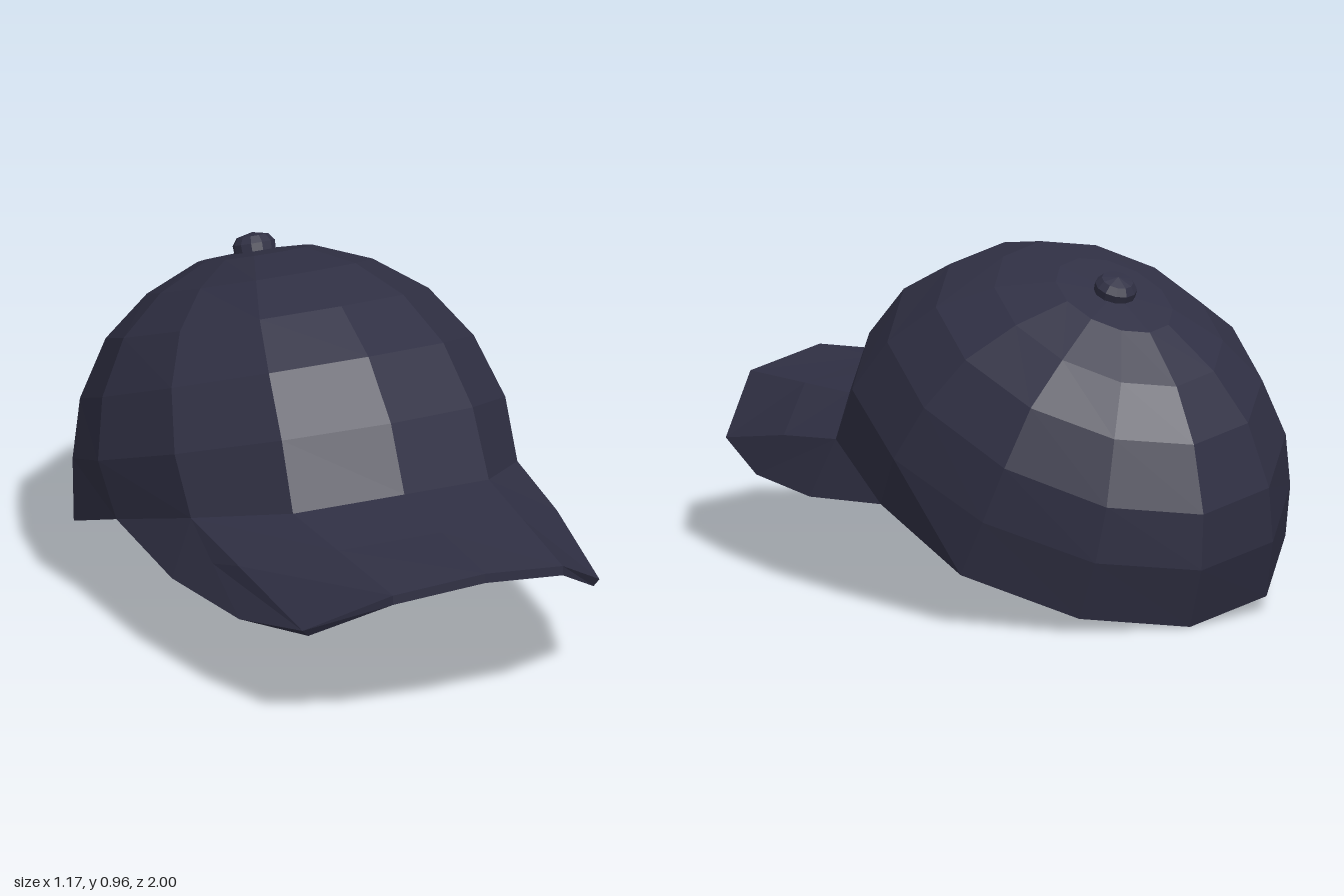
import * as THREE from 'three';

const material = new THREE.MeshStandardMaterial({ color: 0x303044, flatShading: true });

// Joins rows of points with quads, leaving out collapsed triangles
function loft(rows, out = [], flip = false) {
  const tri = (a, b, c) => {
    if (a.distanceTo(b) < 1e-5 || b.distanceTo(c) < 1e-5 || a.distanceTo(c) < 1e-5) return;
    for (const p of flip ? [a, c, b] : [a, b, c]) out.push(p.x, p.y, p.z);
  };
  for (let k = 0; k < rows.length - 1; k++) {
    for (let j = 0; j < rows[k].length - 1; j++) {
      const a = rows[k][j], b = rows[k + 1][j], c = rows[k + 1][j + 1], d = rows[k][j + 1];
      tri(a, b, c);
      tri(a, c, d);
    }
  }
  return out;
}

function meshFrom(positions, name) {
  const geometry = new THREE.BufferGeometry();
  geometry.setAttribute('position', new THREE.Float32BufferAttribute(positions, 3));
  geometry.computeVertexNormals();
  const mesh = new THREE.Mesh(geometry, material);
  mesh.name = name;
  return mesh;
}

const V = (x, y, z) => new THREE.Vector3(x, y, z);

// Completes a right-to-left half row (starting on the centre line) by mirroring
const mirrorRow = (half) => [
  ...half.slice(1).reverse().map((p) => V(-p.x, p.y, p.z)),
  ...half,
];

// Bottom edge of the crown, front centre to back centre
const baseEdge = [
  V(0, 0.52, 0.46), V(0.3, 0.48, 0.37), V(0.5, 0.41, 0.125), V(0.57, 0.29, -0.22),
  V(0.535, 0.145, -0.58), V(0.308, 0.04, -0.84), V(0, 0, -0.93),
];

function createCrown() {
  // Tilted oval rings: front z, front y, back z, back y, half width
  const rings = [
    [-0.54, 0.885, -0.54, 0.885, 0],
    [-0.35, 0.95, -0.72, 0.8, 0.155],
    [-0.15, 0.965, -0.86, 0.67, 0.305],
    [0.04, 0.93, -0.95, 0.52, 0.44],
    [0.22, 0.845, -1, 0.33, 0.535],
    [0.37, 0.7, -0.99, 0.17, 0.585],
  ];
  const outer = rings.map(([fz, fy, bz, by, rx]) => {
    const half = [];
    for (let j = 0; j <= 6; j++) {
      const a = (j * Math.PI) / 6, t = (1 + Math.cos(a)) / 2;
      half.push(V(rx * Math.sin(a), by + (fy - by) * t, bz + (fz - bz) * t));
    }
    return mirrorRow(half);
  });
  outer.push(mirrorRow(baseEdge));

  // Lining, slightly smaller, joined to the outside by a thin rim
  const centre = V(0, 0.4, -0.3);
  const inner = outer.map((row) => row.map((p) => p.clone().sub(centre).multiplyScalar(0.965).add(centre)));
  inner[6].forEach((p, i) => { p.y = outer[6][i].y + 0.004; });
  const positions = loft(outer);
  loft(inner, positions, true);
  loft([outer[6], inner[6]], positions);
  return meshFrom(positions, 'crown');
}

function createBrim() {
  // Three rows from the crown out to the edge, centre to side
  const [front, quarter, corner, side] = baseEdge;
  const innerHalf = [front, quarter, corner, corner, corner, side];
  const outerHalf = [
    V(0, 0.483, 1), V(0.26, 0.443, 0.95), V(0.455, 0.303, 0.77),
    V(0.525, 0.25, 0.5), V(0.57, 0.25, 0.15), side,
  ];
  const midHalf = innerHalf.map((p, i) => p.clone().lerp(outerHalf[i], 0.45));
  midHalf[0].y = 0.497;
  midHalf[2].x = 0.488;
  midHalf[2].y = 0.372;

  // Underside is shifted down in the middle and inwards at the sides
  const shift = [[0, -0.028], [0, -0.028], [-0.018, -0.018], [-0.025, 0], [-0.025, 0], [-0.02, 0]];
  const halves = [innerHalf, midHalf, outerHalf];
  const top = halves.map(mirrorRow);
  const under = halves.map((half, k) => mirrorRow(half.map((p, i) => {
    const s = k === 0 && i < 3 ? 1.8 : 1;
    return V(p.x + shift[i][0], p.y + shift[i][1] * s, p.z);
  })));
  const positions = loft(top);
  loft(under, positions, true);
  loft([top[2], under[2]], positions);
  loft([top[0], under[0]], positions, true);
  return meshFrom(positions, 'brim');
}

function createButton() {
  const profile = [[0.058, -0.015], [0.06, 0.025], [0.045, 0.045], [0, 0.055]]
    .map(([r, y]) => new THREE.Vector2(r, y));
  const button = new THREE.Mesh(new THREE.LatheGeometry(profile, 12), material);
  button.name = 'topButton';
  button.position.set(0, 0.88, -0.535);
  button.rotation.x = -0.4;
  return button;
}

export function createModel() {
  const cap = new THREE.Group();
  cap.name = 'cap';
  cap.add(createCrown(), createBrim(), createButton());
  return cap;
}
